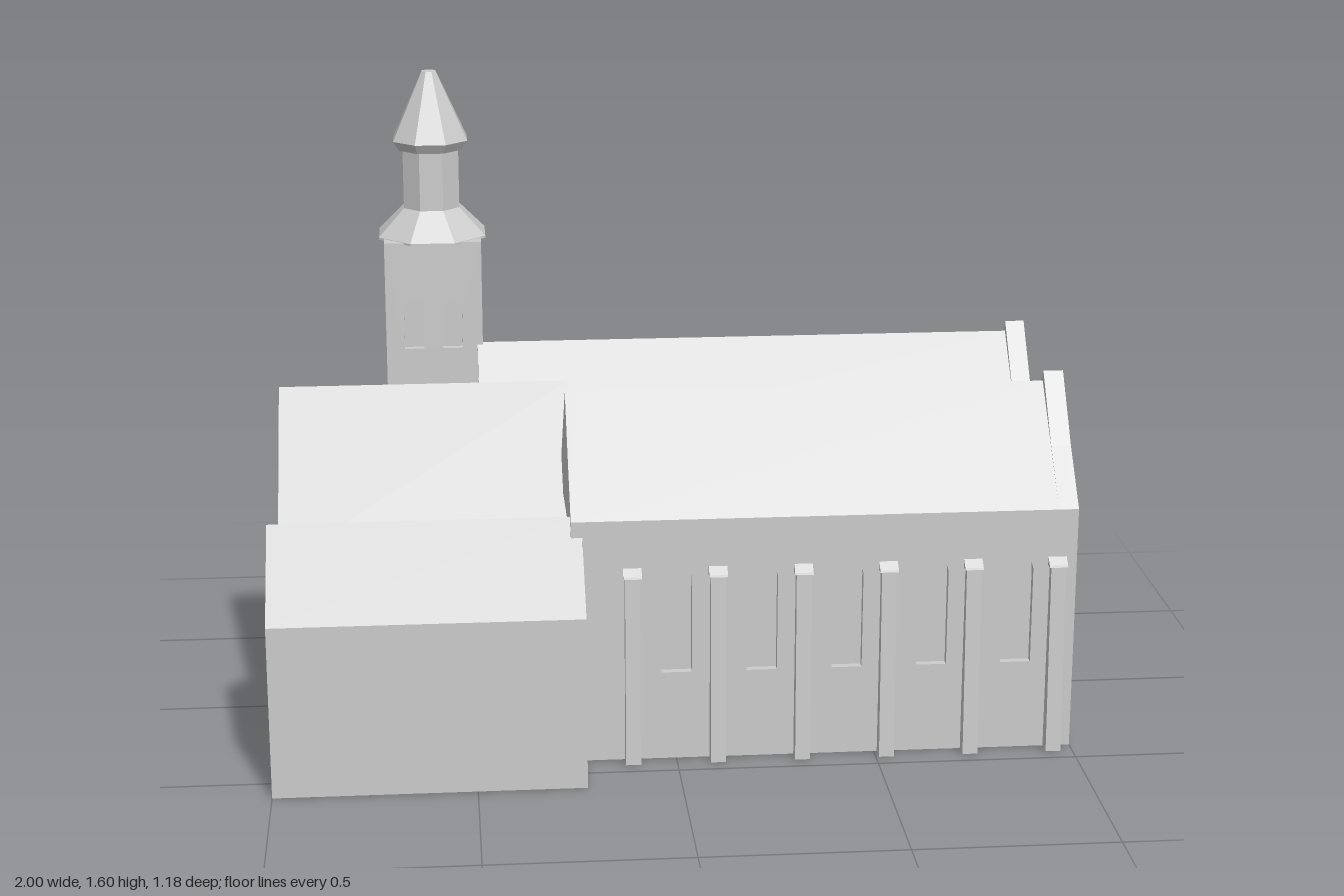
import * as THREE from 'three';

export function createModel() {
  const model = new THREE.Group();
  model.name = 'church';
  const stone = new THREE.MeshStandardMaterial({ color: 0xcccccc, flatShading: true });
  stone.name = 'pale stone';

  const add = (geometry, name, parent = model) => {
    const mesh = new THREE.Mesh(geometry, stone);
    mesh.name = name;
    parent.add(mesh);
    return mesh;
  };
  // Solid with a [z, y] cross-section running from x0 to x1
  const prism = (profile, x0, x1) => {
    const shape = new THREE.Shape(profile.map(([z, y]) => new THREE.Vector2(z, y)));
    const g = new THREE.ExtrudeGeometry(shape, { depth: x1 - x0, bevelEnabled: false });
    return g.rotateY(-Math.PI / 2).translate(x1, 0, 0);
  };
  // Wall layer pierced by round-arched windows, z0 being its back plane
  const piercedWall = (x0, x1, top, z0, depth, centres, width, sill, head) => {
    const shape = new THREE.Shape([[x0, 0], [x1, 0], [x1, top], [x0, top]].map(p => new THREE.Vector2(...p)));
    const r = width / 2;
    for (const c of centres) {
      const hole = new THREE.Path();
      hole.moveTo(c - r, sill);
      hole.lineTo(c - r, head - r);
      hole.absarc(c, head - r, r, Math.PI, 0, true);
      hole.lineTo(c + r, sill);
      hole.closePath();
      shape.holes.push(hole);
    }
    return new THREE.ExtrudeGeometry(shape, { depth, bevelEnabled: false, curveSegments: 10 }).translate(0, 0, z0);
  };

  // Measurements shared by the twin naves
  const FRONT = 0.422, BACK = -0.55, VALLEY = -0.064, EAVE = 0.63, RIDGE = 0.893;
  const SOUTH = 0.18, NORTH = -0.307, RECESS = 0.02, LEDGE = 0.56;

  // Naves, set back below the ledge to leave room for the pierced walls
  add(prism([[VALLEY, 0], [FRONT - RECESS, 0], [FRONT - RECESS, LEDGE], [FRONT, LEDGE],
    [FRONT, EAVE], [SOUTH, RIDGE], [VALLEY, EAVE]], -0.23, 0.95), 'frontNave');
  add(prism([[BACK + RECESS, 0], [VALLEY, 0], [VALLEY, EAVE], [NORTH, RIDGE],
    [BACK, EAVE], [BACK, LEDGE], [BACK + RECESS, LEDGE]], -0.467, 0.95), 'backNave');

  const windows = [0, 1, 2, 3, 4].map(i => i * 0.2133);
  add(piercedWall(-0.23, 0.95, LEDGE, FRONT - RECESS, RECESS, windows, 0.076, 0.23, 0.51), 'frontWall');
  add(piercedWall(-0.46, 0.95, LEDGE, BACK, RECESS, windows, 0.076, 0.23, 0.51), 'backWall');

  // East gable rising above both roofs near the peaks
  add(prism([[BACK, 0], [FRONT, 0], [FRONT, EAVE], [0.305, 0.76], [SOUTH + 0.004, 0.92], [0.06, 0.765],
    [VALLEY, EAVE], [-0.185, 0.765], [NORTH, 0.92], [-0.43, 0.765], [BACK, EAVE]], 0.95, 1), 'eastGable');

  // Overhanging west end of the front nave roof
  add(prism([[VALLEY, 0.58], [FRONT, 0.58], [FRONT, EAVE], [SOUTH, RIDGE], [VALLEY, EAVE]],
    -0.26, -0.23), 'westRoofEnd');

  // Tapered buttresses with sloping caps
  const buttresses = new THREE.Group();
  buttresses.name = 'buttresses';
  model.add(buttresses);
  for (let i = 0; i < 6; i++) {
    const x = -0.11 + i * 0.2122;
    for (const [wall, s] of [[FRONT, 1], [BACK, -1]]) {
      const section = pts => {
        const p = pts.map(([d, y]) => [wall + s * d, y]);
        return s > 0 ? p : p.reverse();
      };
      add(prism(section([[-0.005, 0], [0.038, 0], [0.02, 0.487], [-0.005, 0.487]]), x - 0.019, x + 0.019),
        'buttress', buttresses);
      add(prism(section([[-0.005, 0.485], [0.022, 0.485], [0.02, 0.49], [0, 0.507], [-0.005, 0.507]]),
        x - 0.023, x + 0.023), 'buttressCap', buttresses);
    }
  }

  // Chancel: long front slope, short back slope with a canted corner
  add(prism([[-0.19, 0], [0.172, 0], [0.172, 0.45], [-0.19, 0.815]], -0.988, -0.23), 'chancelFront');
  const rear = prism([[-0.302, 0], [-0.19, 0], [-0.19, 0.815], [-0.302, 0.69]], -0.988, -0.23);
  const p = rear.attributes.position;
  for (let i = 0; i < p.count; i++) {
    if (p.getX(i) < -0.9 && p.getZ(i) < -0.25) p.setX(i, -0.915);
  }
  rear.computeVertexNormals();
  add(rear, 'chancelBack');

  // Side annex
  add(prism([[0.172, 0], [0.588, 0], [0.588, 0.44], [0.377, 0.63], [0.172, 0.45]], -1, -0.232), 'annex');

  // Tower
  const tower = new THREE.Group();
  tower.name = 'tower';
  model.add(tower);
  const X = -0.58, Z = -0.426, W = 0.254, D = 0.248, TOP = 1.167;
  add(new THREE.BoxGeometry(W, TOP, D - 2 * RECESS).translate(X, TOP / 2, Z), 'towerCore', tower);
  for (const [z0, name] of [[Z + D / 2 - RECESS, 'towerFrontWall'], [Z - D / 2, 'towerBackWall']]) {
    add(piercedWall(X - W / 2, X + W / 2, TOP, z0, RECESS, [-0.633, -0.532], 0.052, 0.88, 1.015), name, tower);
  }

  // Octagonal roof, lantern and spire; radii are given across the flats
  const octagon = (points, name) => {
    const k = 1 / Math.cos(Math.PI / 8);
    const g = new THREE.LatheGeometry(points.map(([r, y]) => new THREE.Vector2(r * k, y)), 8, Math.PI / 8);
    add(g.translate(X, 0, Z), name, tower);
  };
  octagon([[0, 1.162], [0.14, 1.162], [0.14, 1.168], [0.073, 1.24], [0, 1.24]], 'towerRoof');
  octagon([[0.073, 1.23], [0.073, 1.41]], 'lantern');
  octagon([[0.07, 1.395], [0.082, 1.395], [0.097, 1.42], [0.018, 1.6], [0, 1.6]], 'spire');

  return model;
}
